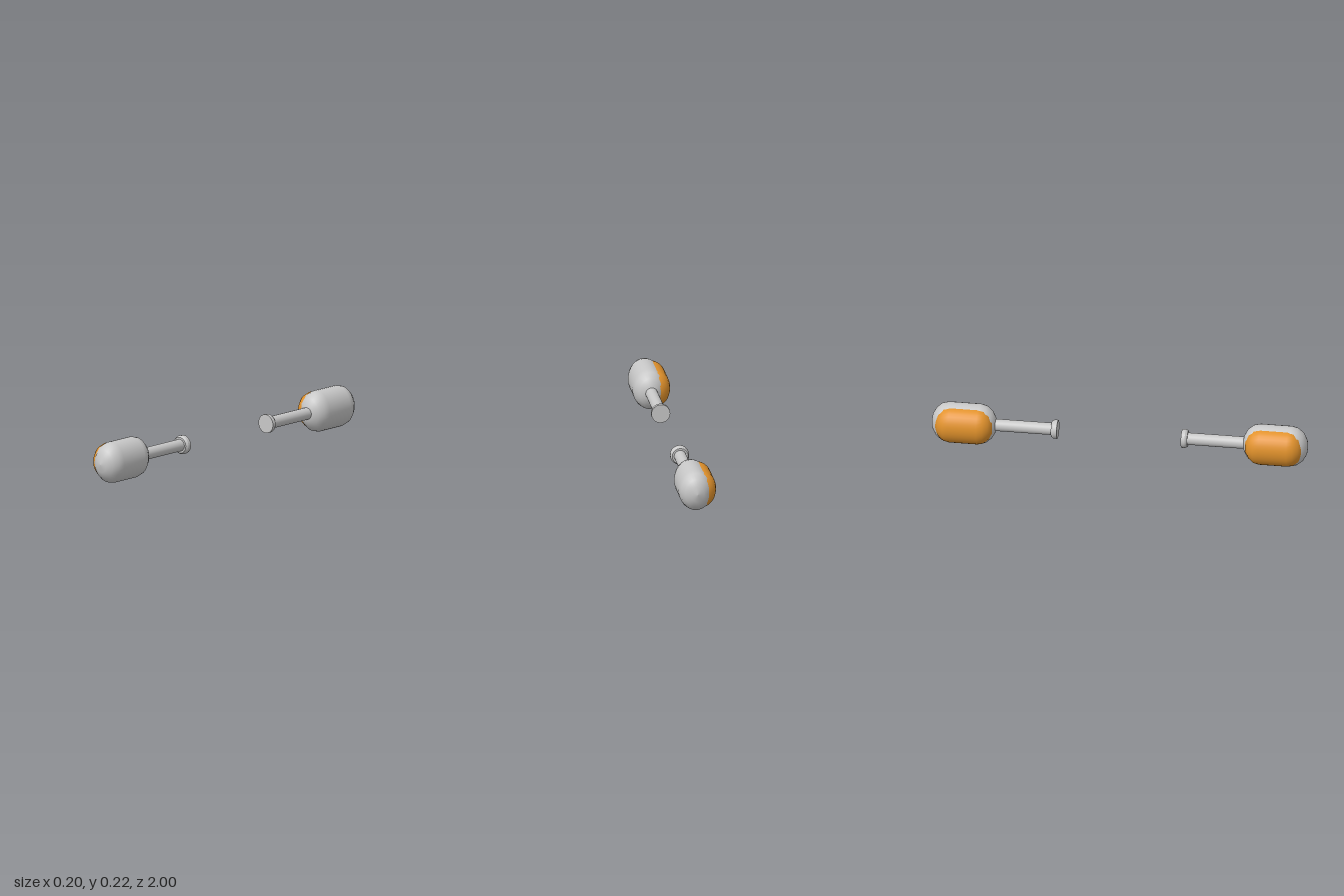
import * as THREE from 'three';

// Rounded float profile: half-ellipse caps around a straight middle
function floatGeometry(rx, ry, halfLength, halfStraight) {
  const points = [];
  const steps = 4;
  const cap = halfLength - halfStraight;
  for (let i = 0; i <= steps; i++) {
    const a = (i / steps) * Math.PI / 2;
    points.push(new THREE.Vector2(Math.sin(a), -halfStraight - cap * Math.cos(a)));
  }
  for (let i = 0; i <= steps; i++) {
    const a = (i / steps) * Math.PI / 2;
    points.push(new THREE.Vector2(Math.cos(a), halfStraight + cap * Math.sin(a)));
  }
  points[0].x = points[points.length - 1].x = 0;
  return new THREE.LatheGeometry(points, 32).scale(rx, 1, ry);
}

export function createModel() {
  const grey = new THREE.MeshStandardMaterial({ color: 0xc8c8c8 });
  grey.name = 'light grey';
  const orange = new THREE.MeshStandardMaterial({ color: 0xe3932c });
  orange.name = 'orange';

  const bodyGeo = floatGeometry(0.089, 0.11, 0.173, 0.083);
  const panelGeo = floatGeometry(0.08, 0.099, 0.156, 0.075);
  const rodGeo = new THREE.CylinderGeometry(0.032, 0.032, 0.36, 32);
  const rimGeo = new THREE.CylinderGeometry(0.05, 0.05, 0.02, 32);
  const bevelGeo = new THREE.CylinderGeometry(0.042, 0.05, 0.012, 32);

  const model = new THREE.Group();
  model.name = 'floatPair';

  // One unit at each end, with its float pointing outwards
  for (const side of [1, -1]) {
    const unit = new THREE.Group();
    unit.name = side > 0 ? 'frontUnit' : 'backUnit';
    const add = (name, geometry, material, x, along) => {
      const mesh = new THREE.Mesh(geometry, material);
      mesh.name = name;
      mesh.position.set(x, along, 0);
      unit.add(mesh);
    };
    add('body', bodyGeo, grey, 0.011, 0.827);
    add('sidePanel', panelGeo, orange, -0.02, 0.824);
    add('rod', rodGeo, grey, 0.011, 0.525);
    add('endCapRim', rimGeo, grey, 0.011, 0.34);
    add('endCapBevel', bevelGeo, grey, 0.011, 0.356);
    unit.rotation.x = side * Math.PI / 2;
    unit.position.y = 0.111;
    model.add(unit);
  }
  return model;
}
